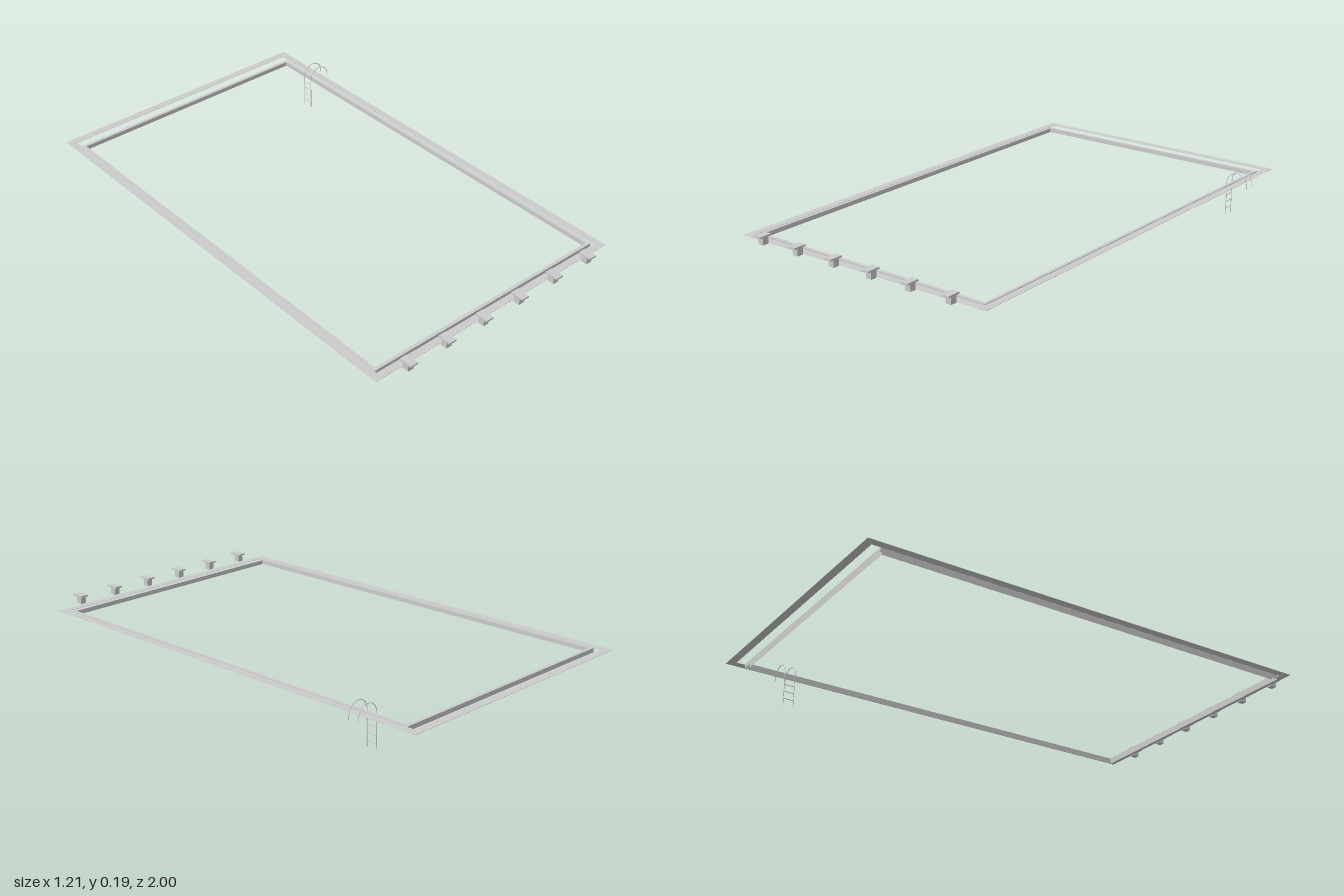
import * as THREE from 'three';

const mat = new THREE.MeshStandardMaterial({ color: 0xcccccc, side: THREE.DoubleSide });

function add(parent, name, geometry, x = 0, y = 0, z = 0) {
  const mesh = new THREE.Mesh(geometry, mat);
  mesh.name = name;
  mesh.position.set(x, y, z);
  parent.add(mesh);
  return mesh;
}

// Rectangle outline in x and z; shape y becomes -z once laid flat
function rect(Type, [x0, x1, z0, z1]) {
  return new Type([[x0, -z1], [x1, -z1], [x1, -z0], [x0, -z0]].map(p => new THREE.Vector2(...p)));
}

const inset = ([x0, x1, z0, z1], w) => [x0 + w, x1 - w, z0 + w, z1 - w];

// Flat rectangular frame of even width
function frame(bounds, width) {
  const shape = rect(THREE.Shape, bounds);
  shape.holes.push(rect(THREE.Path, inset(bounds, width)));
  return shape;
}

// Four upright walls around a rectangle, open above and below
function walls([x0, x1, z0, z1], height) {
  const geo = new THREE.CylinderGeometry(Math.SQRT1_2, Math.SQRT1_2, height, 4, 1, true)
    .rotateY(Math.PI / 4).scale(x1 - x0, 1, z1 - z0)
    .translate((x0 + x1) / 2, height / 2, (z0 + z1) / 2).toNonIndexed();
  geo.computeVertexNormals();
  return geo;
}

// Pool edge: thin deck strip around a hollow rim that is open below
function addPoolEdge(group) {
  const deck = frame([-0.606, 0.574, -1, 0.949], 0.032);
  const deckGeo = new THREE.ExtrudeGeometry(deck, { depth: 0.001, bevelEnabled: false });
  add(group, 'deckBorder', deckGeo.rotateX(-Math.PI / 2), 0, 0.1445, 0);

  const bounds = [-0.573, 0.537, -0.933, 0.906], width = 0.014, bottom = 0.127, height = 0.018;
  const cap = new THREE.ShapeGeometry(frame(bounds, width)).rotateX(-Math.PI / 2);
  add(group, 'rimTop', cap, 0, bottom + height, 0);
  add(group, 'rimOuterWall', walls(bounds, height), 0, bottom, 0);
  add(group, 'rimInnerWall', walls(inset(bounds, width), height), 0, bottom, 0);
}

// Starting block: pedestal with an overhanging platform
function startingBlock(x) {
  const block = new THREE.Group();
  block.name = 'startingBlock';
  add(block, 'pedestal', new THREE.BoxGeometry(0.025, 0.031, 0.027), 0, 0.1605, 0.969);
  add(block, 'platform', new THREE.BoxGeometry(0.033, 0.007, 0.056), 0, 0.179, 0.972);
  block.position.x = x;
  return block;
}

// Ladder: two arched rails joined by rungs
function ladder() {
  const group = new THREE.Group();
  group.name = 'ladder';
  const r = 0.0015, x = 0.5095, radius = 0.0475, springY = 0.143, halfWidth = 0.022;
  const path = new THREE.CurvePath();
  const v = (px, py) => new THREE.Vector3(px, py, 0);
  const arch = [];
  for (let i = 0; i <= 16; i++) {
    const a = Math.PI * (1 - i / 16);
    arch.push(v(x + radius + radius * Math.cos(a), springY + radius * Math.sin(a)));
  }
  const points = [v(x, 0), ...arch, v(x + 2 * radius, 0.131)];
  for (let i = 1; i < points.length; i++) path.add(new THREE.LineCurve3(points[i - 1], points[i]));
  const rail = new THREE.TubeGeometry(path, 80, r, 8);
  for (const side of [-1, 1]) add(group, 'rail', rail, 0, 0, side * halfWidth);
  for (const y of [0.027, 0.058, 0.088, 0.118]) {
    const rung = new THREE.CylinderGeometry(r, r, halfWidth * 2, 8).rotateX(Math.PI / 2);
    add(group, 'rung', rung, x, y, 0);
  }
  group.position.z = -0.748;
  return group;
}

export function createModel() {
  const model = new THREE.Group();
  model.name = 'swimmingPool';
  addPoolEdge(model);
  for (let i = 0; i < 6; i++) model.add(startingBlock(-0.476 + i * 0.183));
  model.add(ladder());
  return model;
}
